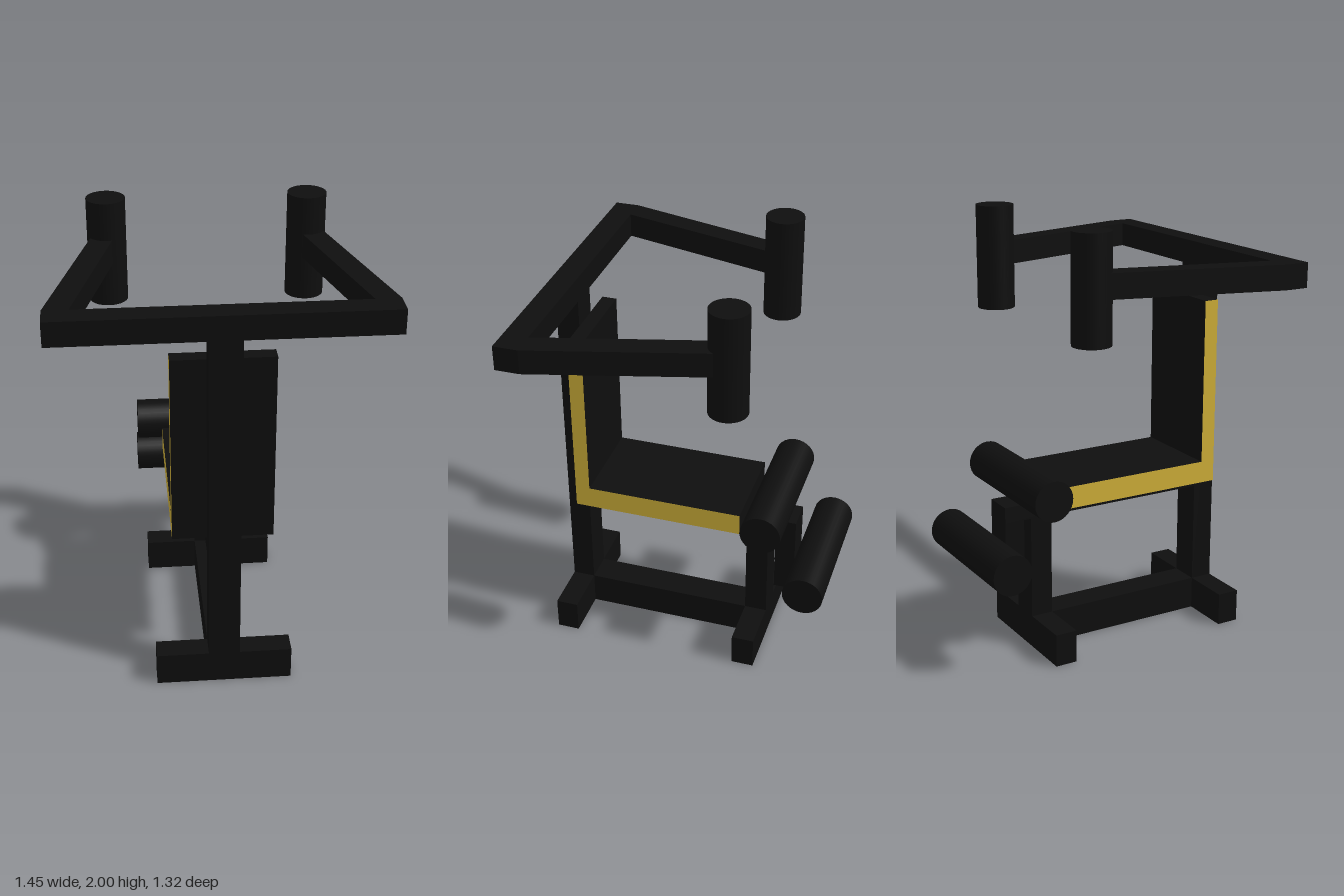
import * as THREE from 'three';

export function createModel() {
  const model = new THREE.Group();
  model.name = 'exerciseMachine';

  const black = new THREE.MeshStandardMaterial({ color: 0x0e0e0e });
  black.name = 'black';
  const yellow = new THREE.MeshStandardMaterial({ color: 0xcdae38 });
  yellow.name = 'mustardYellow';

  const add = (name, geometry, material = black) => {
    const mesh = new THREE.Mesh(geometry, material);
    mesh.name = name;
    model.add(mesh);
    return mesh;
  };

  // Box centred on x, given its half width and its y and z ranges
  const beam = (name, halfWidth, y0, y1, z0, z1) =>
    add(name, new THREE.BoxGeometry(halfWidth * 2, y1 - y0, z1 - z0))
      .position.set(0, (y0 + y1) / 2, (z0 + z1) / 2);

  const polygon = (points) => new THREE.Shape(points.map(([x, y]) => new THREE.Vector2(x, y)));

  // Frame
  beam('backPost', 0.07, 0.155, 1.72, 0.555, 0.66);
  beam('frontPost', 0.07, 0.155, 0.64, -0.34, -0.235);
  beam('baseBeam', 0.07, 0, 0.155, -0.235, 0.555);
  beam('backFoot', 0.305, 0, 0.155, 0.555, 0.66);
  beam('frontFoot', 0.305, 0, 0.155, -0.34, -0.235);
  beam('seatBeam', 0.07, 0.64, 0.715, -0.47, 0.555);
  beam('legBracket', 0.07, 0.325, 0.64, -0.47, -0.375);

  // L-shaped seat and backrest: yellow sides, black upholstery
  const padProfile = polygon([
    [-0.556, 0.717], [0.24, 0.717], [0.24, 0.82], [-0.488, 0.82], [-0.488, 1.59], [-0.556, 1.59],
  ]);
  const pad = new THREE.ExtrudeGeometry(padProfile, { depth: 0.446, bevelEnabled: false });
  pad.translate(0, 0, -0.223).rotateY(Math.PI / 2);
  add('seatAndBackrest', pad, [yellow, black]);

  // Crossbar with two arms angled inwards
  const barOutline = polygon([
    [-0.725, -0.66], [0.72, -0.66], [0.72, -0.55], [0.508, 0.235], [0.4, 0.235], [0.61, -0.55],
    [-0.615, -0.55], [-0.41, 0.235], [-0.515, 0.235], [-0.725, -0.55],
  ]);
  const bar = new THREE.ExtrudeGeometry(barOutline, { depth: 0.11, bevelEnabled: false });
  bar.rotateX(-Math.PI / 2).translate(0, 1.72, 0);
  add('armBar', bar);

  // Upright handles
  for (const [name, x] of [['leftHandle', 0.443], ['rightHandle', -0.453]]) {
    add(name, new THREE.CylinderGeometry(0.087, 0.087, 0.48, 32)).position.set(x, 1.76, -0.243);
  }

  // Leg rollers
  for (const [name, y, z] of [['upperRoller', 0.81, -0.362], ['lowerRoller', 0.507, -0.568]]) {
    const roller = add(name, new THREE.CylinderGeometry(0.094, 0.094, 0.662, 32));
    roller.rotation.z = Math.PI / 2;
    roller.position.set(-0.006, y, z);
  }

  return model;
}
